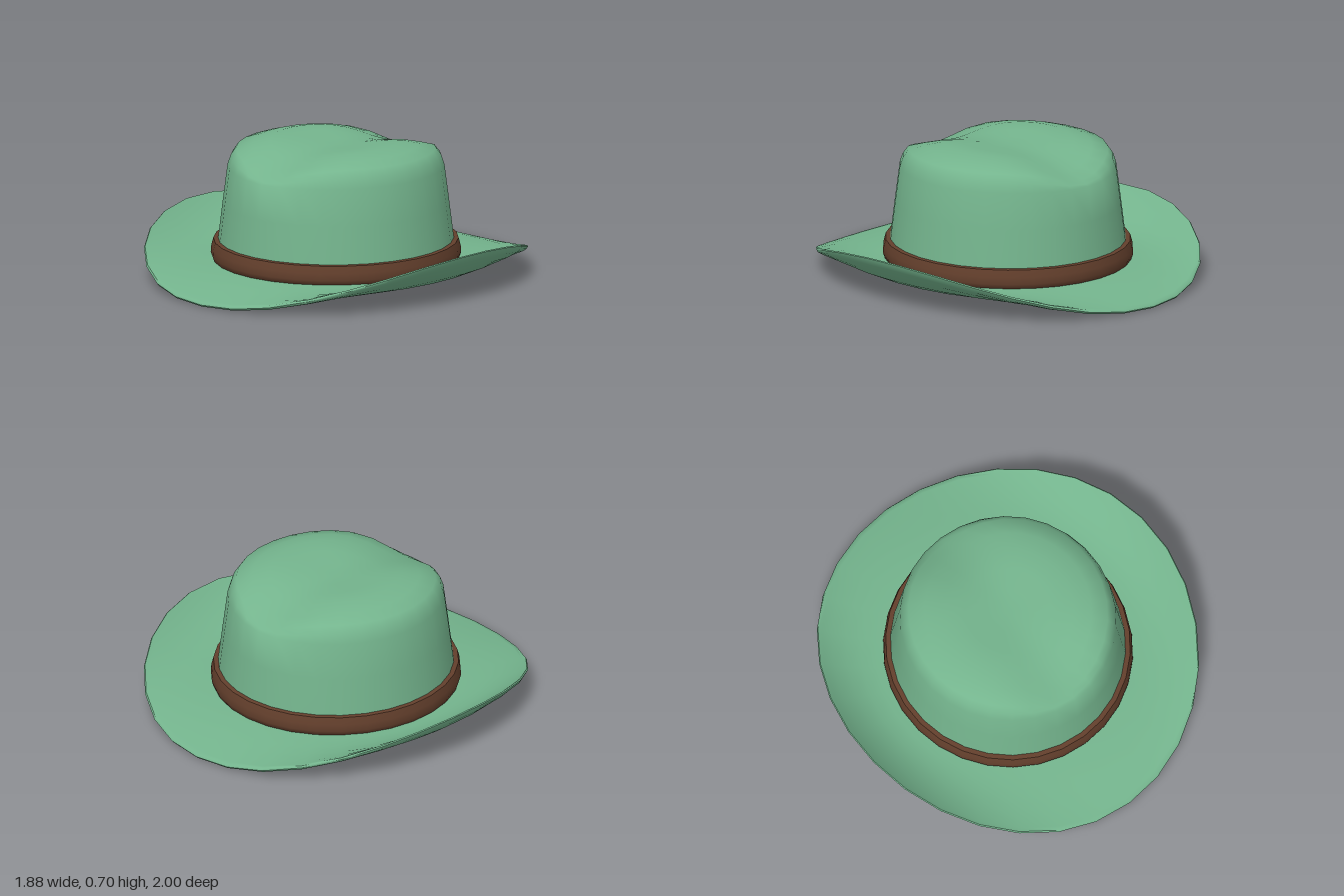
import * as THREE from 'three';
import { toCreasedNormals } from 'three/addons/utils/BufferGeometryUtils.js';

const SIDES = 30;

// Spin a profile of [radius, height] pairs, then move each vertex by a rule.
function lathe(profile, rule) {
  const points = profile.map(([r, y]) => new THREE.Vector2(r, y));
  const geometry = new THREE.LatheGeometry(points, SIDES);
  const pos = geometry.attributes.position;
  const v = new THREE.Vector3();
  for (let i = 0; i < pos.count; i++) {
    rule(v.fromBufferAttribute(pos, i));
    pos.setXYZ(i, v.x, v.y, v.z);
  }
  return toCreasedNormals(geometry, 1.1);
}

export function createModel() {
  const felt = new THREE.MeshStandardMaterial({ color: 0x74b48d, side: THREE.DoubleSide });
  felt.name = 'green felt';
  const leather = new THREE.MeshStandardMaterial({ color: 0x633f2c });
  leather.name = 'brown leather';

  const hat = new THREE.Group();
  hat.name = 'hat';
  const add = (name, geometry, material) => {
    const mesh = new THREE.Mesh(geometry, material);
    mesh.name = name;
    hat.add(mesh);
  };

  // Crown: tapered wall and a domed top with a crease that deepens at front and back.
  const crownProfile = [
    [0.605, 0.06], [0.59, 0.19], [0.567, 0.38], [0.543, 0.57], [0.527, 0.62], [0.5, 0.66],
    [0.42, 0.685], [0.33, 0.706], [0.22, 0.708], [0.11, 0.706], [0, 0.705],
  ];
  add('crown', lathe(crownProfile, (v) => {
    const top = THREE.MathUtils.smoothstep(v.y, 0.54, 0.67);
    const ends = THREE.MathUtils.smoothstep(Math.abs(v.z), 0.1, 0.5);
    v.y -= top * Math.exp(-((v.x / 0.22) ** 2)) * (0.03 + 0.05 * ends);
    v.z *= 1.02;
  }), felt);

  // Brim: profile radius runs from 1 at the crown to 2 at the rim.
  const steps = [0, 0.2, 0.4, 0.6, 0.8, 0.93];
  const brimProfile = [
    ...steps.map((t) => [1 + t, 0]),
    [1.98, 0.003], [2, 0.014], [1.985, 0.024],
    ...steps.slice().reverse().map((t) => [1 + t, 0.032 - 0.008 * t]),
  ];
  add('brim', lathe(brimProfile, (v) => {
    const r = Math.hypot(v.x, v.z);
    const t = Math.max(0, r - 1);
    const sx = v.x / r;
    const sz = v.z / r;
    const curl = 0.24 * Math.abs(sx) ** 2.2;
    v.y += 0.06 - 0.06 * t ** 1.6 + curl * t ** 2.1;
    v.x = sx * (0.595 + 0.35 * t);
    v.z = sz * (0.6 + 0.4 * t);
  }), felt);

  // Band: ring with a slightly bulging face.
  const bandProfile = [
    [0.58, 0.085], [0.618, 0.09], [0.627, 0.115], [0.624, 0.15], [0.614, 0.188], [0.58, 0.19],
  ];
  add('band', lathe(bandProfile, (v) => { v.z *= 1.02; }), leather);

  return hat;
}
